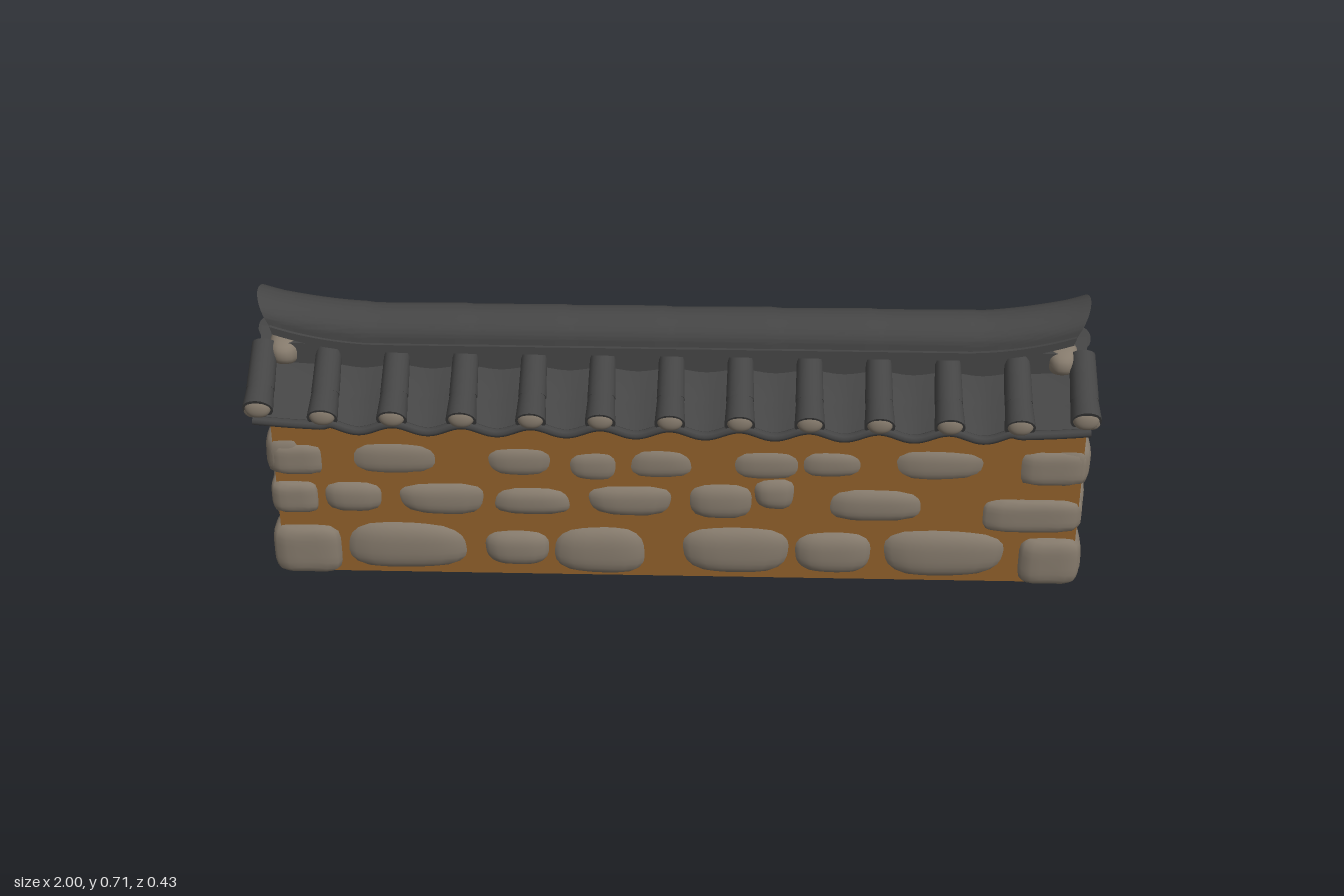
import * as THREE from 'three';
import { mergeVertices, toCreasedNormals } from 'three/addons/utils/BufferGeometryUtils.js';

export function createModel() {
  const model = new THREE.Group();
  model.name = 'tiledStoneWall';
  const mat = (name, color) => {
    const m = new THREE.MeshStandardMaterial({ color });
    m.name = name;
    return m;
  };
  const clay = mat('ochreClay', 0x8f5f2a);
  const stone = mat('warmGreyStone', 0x857a6c);
  const dark = mat('darkStone', 0x434343);
  const tile = mat('charcoalTile', 0x454545);

  const add = (name, geometry, material, x = 0, y = 0, z = 0) => {
    const m = new THREE.Mesh(geometry, material);
    m.name = name;
    m.position.set(x, y, z);
    model.add(m);
    return m;
  };
  let seed = 7;
  const rand = () => (seed = (seed * 16807) % 2147483647) / 2147483647;

  // Move every vertex of a geometry by a rule
  const warp = (geo, rule) => {
    const p = geo.attributes.position, v = new THREE.Vector3();
    for (let i = 0; i < p.count; i++) {
      rule(v.fromBufferAttribute(p, i));
      p.setXYZ(i, v.x, v.y, v.z);
    }
    return geo;
  };

  // Pillow-shaped stone: a sphere pushed towards a box, slightly skewed
  const pillow = (hx, hy, hz, n = 3.5, skew = 0) => {
    const a = (rand() - 0.5) * skew, b = (rand() - 0.5) * skew;
    let g = new THREE.SphereGeometry(1, 24, 16);
    g.deleteAttribute('uv');
    g.deleteAttribute('normal');
    g = mergeVertices(g);
    warp(g, v => {
      const r = (Math.abs(v.x) ** n + Math.abs(v.y) ** n + Math.abs(v.z) ** n) ** (1 / n);
      v.divideScalar(r);
      v.set(v.x * hx * (1 + a * v.y), v.y * hy * (1 + b * v.x), v.z * hz);
    });
    g.computeVertexNormals();
    return g;
  };

  // Extrude a z-y outline along x, centred
  const extrudeX = (shape, length, steps = 1) => {
    const g = new THREE.ExtrudeGeometry(shape, { depth: length, steps, bevelEnabled: false, curveSegments: 20 });
    return g.translate(0, 0, -length / 2).rotateY(Math.PI / 2);
  };

  // Clay core with a small gable
  const coreShape = new THREE.Shape([[-0.14, 0.004], [0.14, 0.004], [0.14, 0.455], [0, 0.5], [-0.14, 0.455]]
    .map(p => new THREE.Vector2(...p)));
  add('clayCore', extrudeX(coreShape, 1.92), clay, 0.014);

  // Face stones: x0, x1, y0, y1, dark on the back
  const rows = [
    { reach: 0.16, stones: [
      [-0.968, -0.8, 0.003, 0.135], [-0.79, -0.49, 0.015, 0.15], [-0.45, -0.295, 0.03, 0.13, 1],
      [-0.285, -0.06, 0.008, 0.145, 1], [0.025, 0.29, 0.015, 0.15], [0.3, 0.485, 0.02, 0.14, 1],
      [0.51, 0.81, 0.015, 0.15], [0.84, 0.99, 0.003, 0.13, 1]] },
    { reach: 0.155, stones: [
      [-0.962, -0.845, 0.175, 0.26], [-0.835, -0.69, 0.175, 0.265], [-0.66, -0.44, 0.17, 0.265],
      [-0.43, -0.235, 0.175, 0.255, 1], [-0.205, 0.01, 0.175, 0.265, 1], [0.04, 0.2, 0.17, 0.275],
      [0.2, 0.295, 0.2, 0.29], [0.37, 0.61, 0.17, 0.265], [0.74, 0.985, 0.15, 0.24]] },
    { reach: 0.149, stones: [
      [-0.96, -0.825, 0.28, 0.365], [-0.78, -0.535, 0.28, 0.38], [-0.45, -0.27, 0.28, 0.37],
      [-0.25, -0.12, 0.27, 0.36, 1], [-0.11, 0.065, 0.28, 0.37, 1], [0.135, 0.32, 0.28, 0.37],
      [0.3, 0.465, 0.29, 0.37], [0.51, 0.765, 0.285, 0.38], [0.82, 0.99, 0.28, 0.375]] },
  ];
  for (const side of [1, -1]) for (const { reach, stones } of rows)
    for (const [x0, x1, y0, y1, isDark] of stones) {
      const corner = x0 < -0.95 || x1 > 0.98;
      const g = pillow((x1 - x0) / 2 + (corner ? 0 : 0.007), (y1 - y0) / 2 + 0.003, 0.05, corner ? 5 : 3, corner ? 0 : 0.25);
      add(side > 0 ? 'frontStone' : 'backStone', g, side < 0 && isDark ? dark : stone,
        (x0 + x1) / 2, (y0 + y1) / 2, side * (reach - 0.05));
    }

  // End stones: z0, z1, y0, y1
  const ends = [[0.008, 0.155, 0.005, 0.13], [-0.155, -0.008, 0.005, 0.13], [-0.132, 0.132, 0.128, 0.267],
    [0.008, 0.146, 0.27, 0.392], [-0.146, -0.008, 0.27, 0.392], [-0.1, 0.1, 0.405, 0.462]];
  for (const side of [1, -1]) for (const [z0, z1, y0, y1] of ends)
    add('endStone', pillow(0.05, (y1 - y0) / 2, (z1 - z0) / 2, 4, 0.1), stone,
      0.013 + side * 0.932, (y0 + y1) / 2, (z0 + z1) / 2);

  // Roof: sloping pan tiles that sag between the rolls
  const pitch = 0.162, eave = 0.19;
  const slope = z => {
    const t = 1 - Math.abs(z) / eave;
    return 0.462 + 0.075 * t + 0.06 * t * t;
  };
  const endLift = x => 0.015 * Math.max(0, (Math.abs(x) - 0.75) / 0.25) ** 2;
  const sag = x => Math.abs(x) > 5 * pitch ? 0.006 : 0.008 * (1 - Math.cos(2 * Math.PI * x / pitch));
  const pans = warp(new THREE.BoxGeometry(1.95, 1, 2 * eave, 144, 1, 24), v => {
    const a = Math.abs(v.z);
    const under = 0.44 + 0.06 * Math.max(0, 1 - a / 0.13) + 0.008 * Math.max(0, (a - 0.13) / 0.06);
    const over = slope(v.z) - (a > 0.13 ? 0.007 : 0);
    v.y = (v.y > 0 ? over : under) - sag(v.x) * Math.min(1, a / 0.1) + endLift(v.x);
  });
  add('panTiles', toCreasedNormals(pans, 0.7), tile);

  // Scalloped drip edge along both eaves
  for (const side of [1, -1]) {
    const pts = [];
    for (let i = 0; i <= 96; i++) {
      const x = -0.975 + 1.95 * i / 96;
      pts.push(new THREE.Vector3(x, 0.455 - sag(x) * 1.3 + endLift(x), side * 0.188));
    }
    add('dripEdge', new THREE.TubeGeometry(new THREE.CatmullRomCurve3(pts), 192, 0.011, 8), tile);
  }

  // Round cover tiles in two overlapping courses, each with a stone eave cap
  const up = new THREE.Vector3(0, 1, 0);
  const rollPiece = (x, side, z0, z1, r0, r1) => {
    const a = new THREE.Vector3(x, slope(z0) + 0.012 + endLift(x), side * z0);
    const b = new THREE.Vector3(x, slope(z1) + 0.012 + endLift(x), side * z1);
    const d = a.clone().sub(b);
    const m = add('coverTile', new THREE.CylinderGeometry(r0, r1, d.length(), 18), tile);
    m.position.copy(a).add(b).multiplyScalar(0.5);
    m.quaternion.setFromUnitVectors(up, d.normalize());
  };
  const rollXs = [-0.962, 0.962];
  for (let i = -5; i <= 5; i++) rollXs.push(i * pitch);
  for (const x of rollXs) for (const side of [1, -1]) {
    const tip = Math.abs(x) > 0.9 ? 0.185 : 0.198;
    rollPiece(x, side, 0.04, 0.135, 0.03, 0.033);
    rollPiece(x, side, 0.125, tip, 0.031, 0.036);
    add('eaveCap', pillow(0.031, 0.027, 0.018, 2.2), stone, x, 0.481 + endLift(x), side * (tip - 0.003));
  }

  // Gable trim: stone knobs and sloping strips below the end rolls
  for (const end of [1, -1]) {
    for (const side of [1, -1]) {
      add('gableKnob', pillow(0.022, 0.024, 0.025, 2.2), stone, end * 0.978, 0.482, side * 0.165);
      const strip = add('gableStrip', pillow(0.02, 0.011, 0.05, 2.5), stone, end * 0.972, 0.503, side * 0.11);
      strip.rotation.x = side * 0.45;
    }
    add('ridgeCushion', pillow(0.04, 0.037, 0.081, 2.6), stone, end * 0.915, 0.567);
  }

  // Ridge: base course, lip and a rounded cap that sweeps up at both ends
  add('ridgeBase', new THREE.BoxGeometry(1.82, 0.07, 0.12), tile, 0, 0.56);
  const sweep = x => 0.046 * Math.max(0, (Math.abs(x) - 0.68) / 0.26) ** 2;
  const bend = v => {
    const lift = sweep(v.x), s = Math.sign(v.x);
    v.x += s * Math.min(1, lift / 0.03) * Math.max(0, v.y) * 0.5;
    v.y += lift;
  };
  const capShape = new THREE.Shape();
  capShape.moveTo(-0.068, 0);
  capShape.lineTo(0.068, 0);
  capShape.lineTo(0.066, 0.025);
  capShape.absellipse(0, 0.025, 0.066, 0.053, 0, Math.PI, false, 0);
  const cap = warp(extrudeX(capShape, 1.87, 80), v => {
    const f = v.x / 0.24;
    const k = 1 + 0.03 * (f - Math.floor(f));
    v.y *= k;
    v.z *= k;
    bend(v);
  });
  add('ridgeCap', toCreasedNormals(cap, 0.7), tile, 0, 0.586);
  const lip = warp(new THREE.BoxGeometry(1.87, 0.02, 0.152, 80, 1, 1), bend);
  add('ridgeLip', toCreasedNormals(lip, 0.7), tile, 0, 0.592);

  return model;
}
